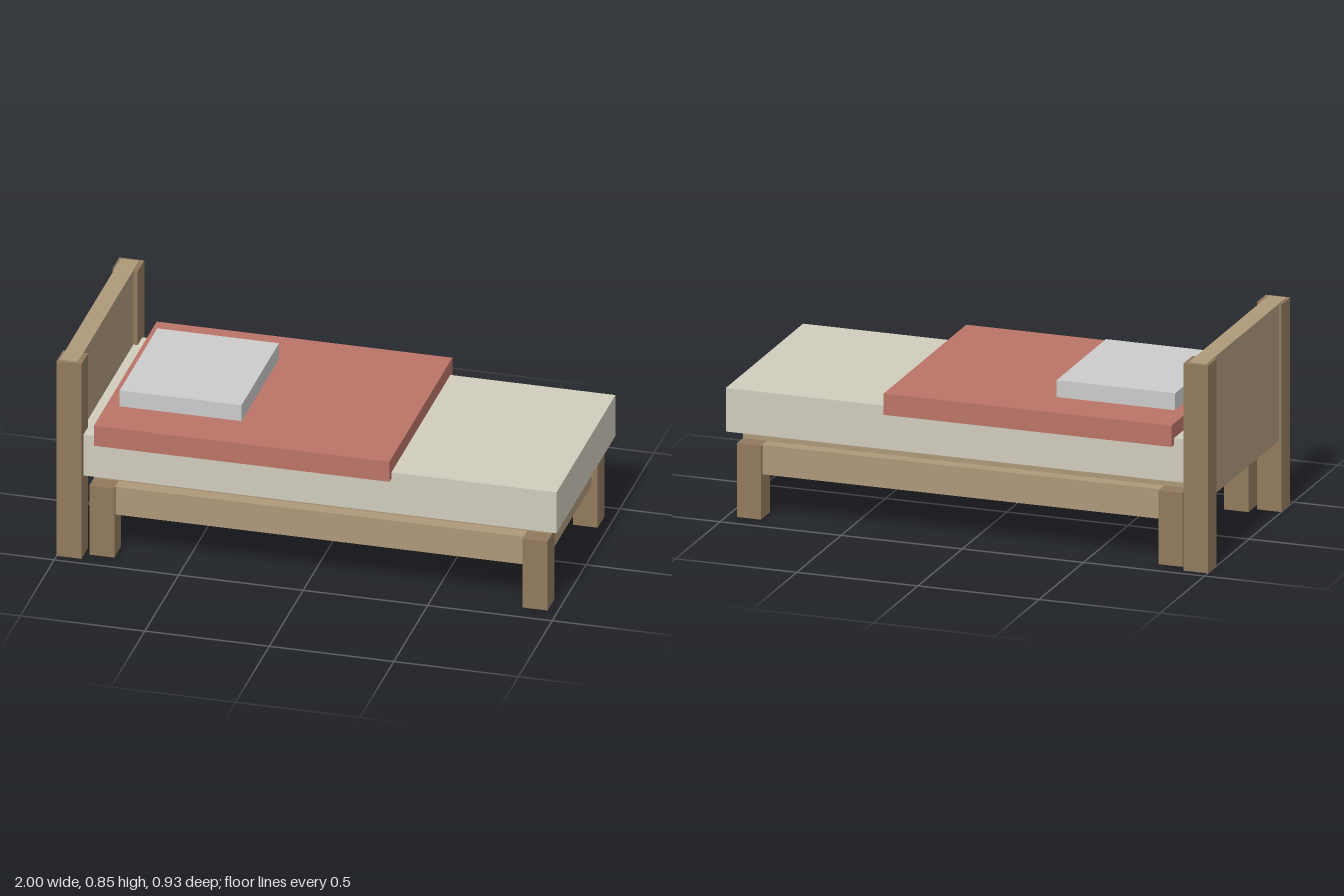
import * as THREE from 'three';

const mat = (color) => new THREE.MeshStandardMaterial({ color });

export function createModel() {
  const bed = new THREE.Group();
  bed.name = 'bed';
  const darkWood = mat(0x917a5d);
  const lightWood = mat(0xae987a);

  // box given by its extents on each axis
  const box = (name, material, [x0, x1], [y0, y1], [z0, z1]) => {
    const mesh = new THREE.Mesh(new THREE.BoxGeometry(x1 - x0, y1 - y0, z1 - z0), material);
    mesh.position.set((x0 + x1) / 2, (y0 + y1) / 2, (z0 + z1) / 2);
    mesh.name = name;
    bed.add(mesh);
  };
  // the same box on both sides of the bed
  const pair = (name, material, x, y, [z0, z1]) => {
    box(name + 'Left', material, x, y, [z0, z1]);
    box(name + 'Right', material, x, y, [-z1, -z0]);
  };

  // headboard: two posts and a panel set between and into them
  pair('headboardPost', darkWood, [-1, -0.9], [0, 0.844], [0.365, 0.464]);
  box('headboardPanel', lightWood, [-0.99, -0.917], [0.29, 0.847], [-0.45, 0.45]);

  // legs
  pair('headLeg', darkWood, [-0.88, -0.78], [0, 0.3], [0.32, 0.42]);
  pair('footLeg', darkWood, [0.86, 0.96], [0, 0.3], [0.32, 0.42]);

  // rails between the legs, slightly inset from their outer faces
  pair('sideRail', lightWood, [-0.78, 0.86], [0.18, 0.3], [0.32, 0.405]);
  box('headRail', lightWood, [-0.86, -0.78], [0.18, 0.3], [-0.32, 0.32]);
  box('footRail', lightWood, [0.86, 0.935], [0.18, 0.3], [-0.32, 0.32]);

  // platform under the mattress
  box('platform', lightWood, [-0.88, 0.96], [0.3, 0.348], [-0.352, 0.352]);

  // bedding
  box('mattress', mat(0xd0ccbd), [-0.917, 1], [0.348, 0.525], [-0.435, 0.435]);
  box('blanket', mat(0xbb7467), [-0.85, 0.337], [0.498, 0.585], [-0.465, 0.465]);
  box('pillow', mat(0xd6d6d2), [-0.797, -0.308], [0.585, 0.654], [-0.277, 0.277]);

  return bed;
}
